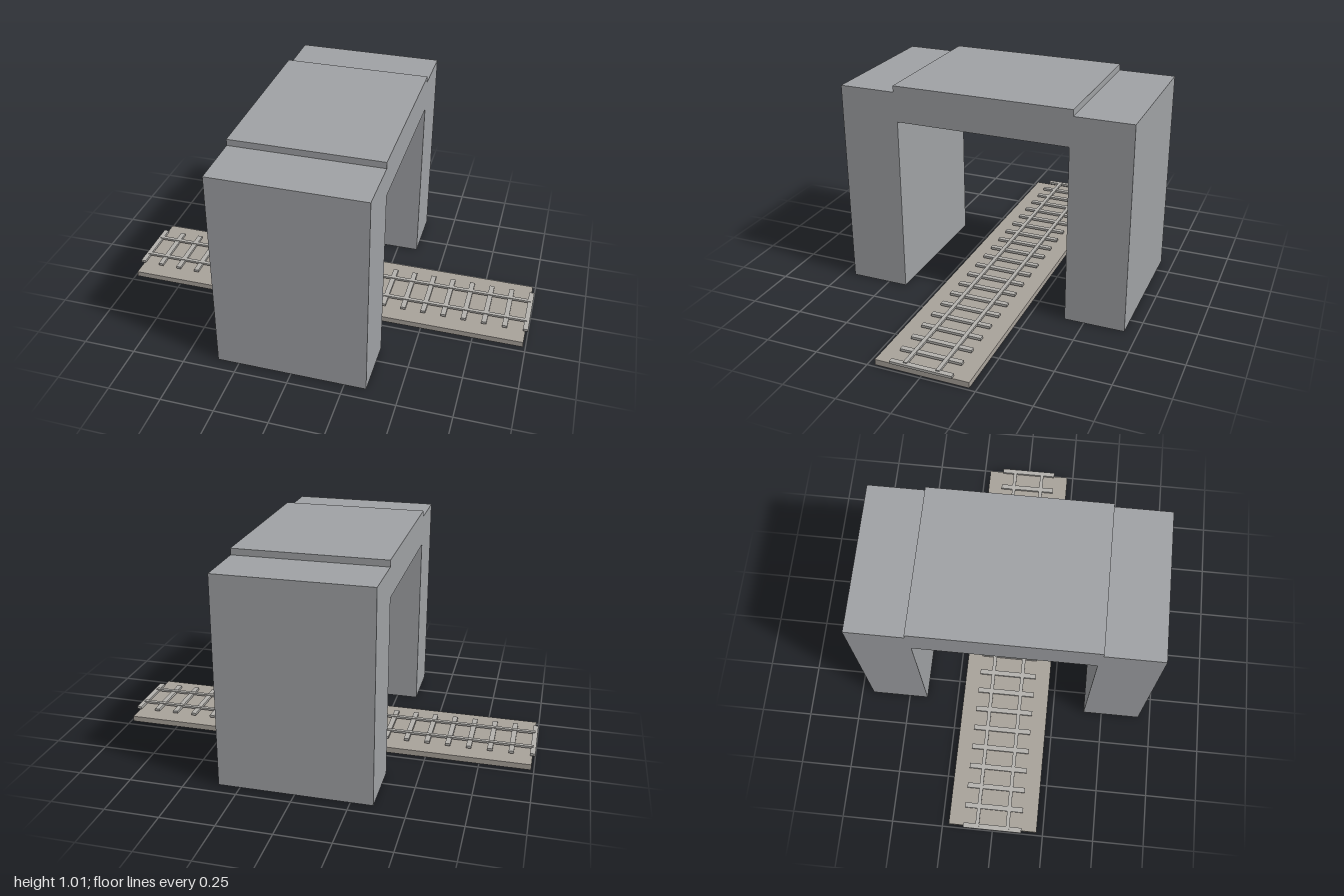
import * as THREE from 'three';

export function createModel() {
  const model = new THREE.Group();
  const concrete = new THREE.MeshStandardMaterial({ color: 0x9fa1a4, flatShading: true });
  const metal = new THREE.MeshStandardMaterial({ color: 0xb3b1ad, flatShading: true });
  const gravel = new THREE.MeshStandardMaterial({ color: 0xa8a29a, flatShading: true, side: THREE.DoubleSide });

  const add = (parent, name, geometry, material, x = 0, y = 0, z = 0) => {
    const mesh = new THREE.Mesh(geometry, material);
    mesh.name = name;
    mesh.position.set(x, y, z);
    parent.add(mesh);
  };

  // Overpass: square arch outline (z, y) with a raised deck, extruded along x
  const half = [[0.408, 0], [0.69, 0], [0.69, 0.985], [0.423, 0.985], [0.423, 1.015]];
  const outline = [
    [0.408, 0.845], ...half,
    ...half.map(([z, y]) => [-z, y]).reverse(), [-0.408, 0.845],
  ];
  const arch = new THREE.ExtrudeGeometry(
    new THREE.Shape(outline.map(([z, y]) => new THREE.Vector2(z, y))),
    { depth: 0.702, bevelEnabled: false },
  );
  arch.translate(0, 0, -0.351).rotateY(Math.PI / 2);
  add(model, 'overpass', arch, concrete);

  // Track bed: shallow slab, open underneath
  const bed = new THREE.BoxGeometry(1.975, 0.027, 0.436);
  const index = Array.from(bed.index.array);
  index.splice(18, 6); // removes the bottom face
  bed.setIndex(index);
  add(model, 'trackBed', bed, gravel, 0, 0.0135, 0);

  // Track: evenly spaced sleepers under two rails
  const track = new THREE.Group();
  track.name = 'track';
  track.position.z = -0.001;
  model.add(track);
  const sleeper = new THREE.BoxGeometry(0.024, 0.012, 0.288);
  for (let i = -10; i <= 10; i++) add(track, 'sleeper', sleeper, metal, i * 0.0988, 0.0395, 0);
  const rail = new THREE.BoxGeometry(1.976, 0.01, 0.018);
  for (const side of [-1, 1]) add(track, 'rail', rail, metal, 0, 0.0445, side * 0.075);

  return model;
}
